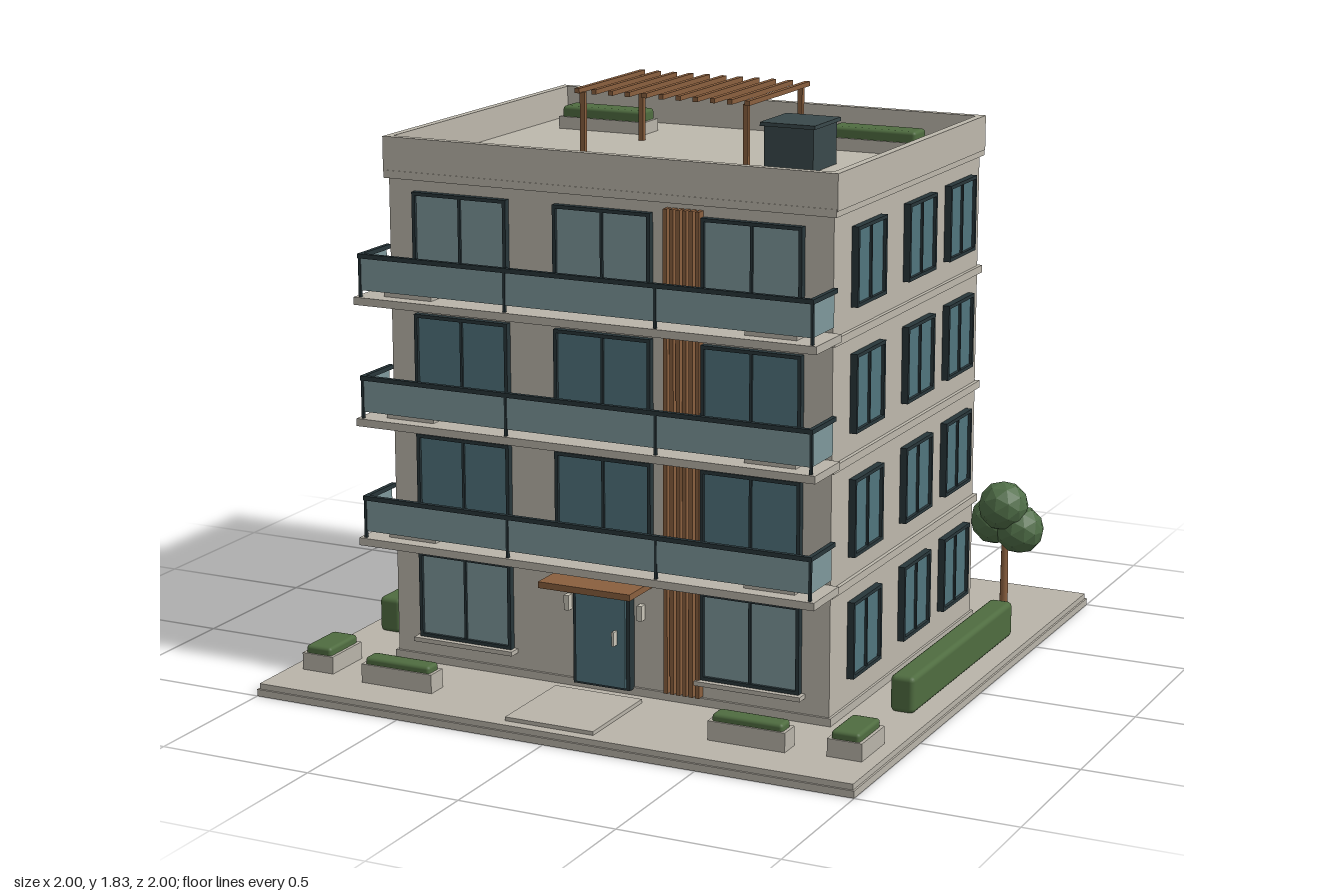
import * as THREE from 'three';
import { RoundedBoxGeometry } from 'three/addons/geometries/RoundedBoxGeometry.js';

const material = (name, color, extra = {}) => {
  const m = new THREE.MeshStandardMaterial({ color, ...extra });
  m.name = name;
  return m;
};

export function createModel() {
  const wall = material('wall plaster', 0xbdb8ac);
  const concrete = material('concrete', 0xb9b4a9);
  const frame = material('dark frame', 0x28363a);
  const roofMetal = material('roof metal', 0x3a494b);
  const glass = material('window glass', 0x50747d);
  const paleGlass = material('pale glass', 0x7e989b);
  const wood = material('wood', 0x8a5f3e);
  const hedgeGreen = material('hedge green', 0x4f6c40);
  const leafGreen = material('leaf green', 0x4f6d47, { flatShading: true });
  const metal = material('light metal', 0xc9c5b8);

  const model = new THREE.Group();
  model.name = 'apartmentBuilding';
  const group = (name, parent = model) => {
    const g = new THREE.Group();
    g.name = name;
    parent.add(g);
    return g;
  };

  // Box given by its limits on each axis
  const box = (parent, name, mat, [x0, x1], [y0, y1], [z0, z1], round = 0) => {
    const size = [x1 - x0, y1 - y0, z1 - z0];
    const geo = round ? new RoundedBoxGeometry(...size, 2, round) : new THREE.BoxGeometry(...size);
    const mesh = new THREE.Mesh(geo, mat);
    mesh.name = name;
    mesh.position.set((x0 + x1) / 2, (y0 + y1) / 2, (z0 + z1) / 2);
    parent.add(mesh);
    return mesh;
  };

  // Site slab and entrance path
  box(model, 'groundSlabLower', concrete, [-1, 1], [0, 0.022], [-1, 1]);
  box(model, 'groundSlabUpper', concrete, [-0.994, 0.994], [0.022, 0.04], [-0.994, 0.994]);
  box(model, 'entrancePath', concrete, [-0.148, 0.148], [0.04, 0.052], [0.64, 0.96]);

  // Main block with plinth, floor bands and roof parapet
  const W = 0.74, D = 0.58, STOREY = 0.38;
  box(model, 'plinth', concrete, [-0.748, 0.748], [0.04, 0.065], [-0.588, 0.588]);
  box(model, 'mainBlock', wall, [-W, W], [0.06, 1.605], [-D, D]);
  for (let i = 0; i < 4; i++) {
    const y = 0.437 + i * STOREY;
    box(model, 'floorBand', wall, [-0.752, 0.752], [y, y + 0.024], [-0.592, 0.592]);
  }
  const parapet = group('parapet');
  for (const s of [-1, 1]) {
    const span = (a, b) => (s > 0 ? [a, b] : [-b, -a]);
    box(parapet, 'parapetLong', wall, [-0.755, 0.755], [1.595, 1.705], span(0.565, 0.59));
    box(parapet, 'parapetShort', wall, span(0.73, 0.755), [1.595, 1.705], [-0.565, 0.565]);
  }

  // Framed two-pane window, facing its own +z
  function addWindow(w, h, pane, x, y, z, turn, sill) {
    const g = group('window');
    g.position.set(x, y, z);
    g.rotation.y = turn;
    const b = 0.011, d = 0.022;
    box(g, 'pane', pane, [-w / 2 + b, w / 2 - b], [b, h - b], [0, 0.012]);
    for (const s of [-1, 1]) {
      const c = s * (w / 2 - b / 2);
      box(g, 'frameSide', frame, [c - b / 2, c + b / 2], [0, h], [0, d]);
    }
    for (const c of [0, h - b])
      box(g, 'frameRail', frame, [-w / 2 + b, w / 2 - b], [c, c + b], [0, d]);
    box(g, 'mullion', frame, [-0.004, 0.004], [b, h - b], [0, 0.019]);
    if (sill) box(g, 'sill', concrete, [-w / 2 - 0.012, w / 2 + 0.012], [-0.014, 0], [0, 0.04]);
  }

  for (let i = 0; i < 4; i++) {
    const y = i * STOREY;
    // Side and back windows
    for (const z of [0.34, -0.06, -0.395])
      for (const s of [-1, 1]) addWindow(0.22, 0.24, glass, s * W, 0.147 + y, z, s * Math.PI / 2);
    for (const x of [-0.515, 0, 0.515]) addWindow(0.22, 0.24, glass, x, 0.147 + y, -D, Math.PI);
    // Front windows, with the door in the middle of the ground floor
    const pane = i === 0 || i === 3 ? paleGlass : glass;
    for (const x of i ? [-0.487, -0.003, 0.487] : [-0.487, 0.487])
      addWindow(0.325, 0.275, pane, x, 0.128 + y, D, 0, true);
    // Timber screen
    for (let k = 0; k < 6; k++) {
      const x = 0.213 + k * 0.0212;
      box(model, 'screenSlat', wood, [x - 0.0065, x + 0.0065], [0.07 + y, 0.422 + y], [D, 0.61]);
    }
  }

  // Planter box with a clipped shrub on top
  function addPlanter(x, y, z, w, d, h, leaf) {
    const g = group('planter');
    g.position.set(x, y, z);
    const i = 0.01;
    box(g, 'planterBox', concrete, [-w / 2, w / 2], [0, h], [-d / 2, d / 2]);
    box(g, 'planterShrub', hedgeGreen, [-w / 2 + i, w / 2 - i], [h - 0.012, h + leaf], [-d / 2 + i / 2, d / 2 - i / 2], 0.011);
  }

  // Balconies with glass railings
  for (let i = 1; i < 4; i++) {
    const y = 0.452 + (i - 1) * STOREY;
    const g = group('balcony');
    box(g, 'balconySlab', concrete, [-0.766, 0.766], [y, y + 0.024], [D, 0.76]);
    box(g, 'frontGlass', paleGlass, [-0.745, 0.745], [y + 0.045, y + 0.146], [0.743, 0.749]);
    box(g, 'frontHandrail', frame, [-0.754, 0.754], [y + 0.144, y + 0.158], [0.739, 0.754]);
    for (const x of [-0.748, -0.25, 0.25, 0.748])
      box(g, 'railingPost', frame, [x - 0.004, x + 0.004], [y + 0.024, y + 0.15], [0.742, 0.752]);
    for (const s of [-1, 1]) {
      const x = s * 0.747;
      box(g, 'sideGlass', paleGlass, [x - 0.003, x + 0.003], [y + 0.045, y + 0.146], [0.597, 0.743]);
      box(g, 'sideHandrail', frame, [x - 0.007, x + 0.007], [y + 0.144, y + 0.158], [D, 0.74]);
      addPlanter(s * 0.603, y + 0.024, 0.687, 0.164, 0.055, 0.045, 0.035);
    }
  }

  // Entrance door, canopy and wall lamps
  const entrance = group('entrance');
  box(entrance, 'doorFrame', frame, [-0.1, 0.093], [0.06, 0.392], [D, 0.612]);
  box(entrance, 'doorLeaf', glass, [-0.088, 0.081], [0.068, 0.382], [0.612, 0.62]);
  box(entrance, 'doorHandle', metal, [0.046, 0.054], [0.205, 0.25], [0.62, 0.642]);
  box(entrance, 'canopy', wood, [-0.157, 0.153], [0.388, 0.408], [D, 0.73]);
  for (const x of [-0.128, 0.122])
    box(entrance, 'wallLamp', metal, [x - 0.008, x + 0.008], [0.285, 0.333], [D, 0.605]);

  // Ground planters, hedges and trees on both sides
  for (const s of [-1, 1]) {
    addPlanter(s * 0.592, 0.04, 0.812, 0.248, 0.07, 0.06, 0.022);
    addPlanter(s * 0.892, 0.04, 0.735, 0.11, 0.17, 0.055, 0.025);
    box(model, 'hedge', hedgeGreen, [s * 0.892 - 0.039, s * 0.892 + 0.039], [0.04, 0.156], [-0.465, 0.385], 0.016);
    const tree = group('tree');
    tree.position.set(s * 0.845, 0.04, -0.612);
    const trunk = new THREE.Mesh(new THREE.CylinderGeometry(0.011, 0.015, 0.32, 8), wood);
    trunk.name = 'trunk';
    trunk.position.y = 0.16;
    tree.add(trunk);
    for (const [x, y, z, r] of [[0, 0.392, 0.022, 0.082], [0.047, 0.312, -0.005, 0.08], [-0.043, 0.33, -0.022, 0.082]]) {
      const crown = new THREE.Mesh(new THREE.IcosahedronGeometry(r, 1), leafGreen);
      crown.name = 'foliage';
      crown.position.set(s * x, y, z);
      tree.add(crown);
    }
    // Roof planters
    addPlanter(s * 0.476, 1.605, -0.37, 0.312, 0.1, 0.04, 0.035);
  }

  // Roof pergola
  const pergola = group('pergola');
  for (let k = 0; k < 11; k++) {
    const x = -0.29 + k * 0.0577;
    box(pergola, 'pergolaSlat', wood, [x - 0.008, x + 0.008], [1.814, 1.829], [-0.25, 0.2]);
  }
  for (const x of [-0.28, 0.276])
    for (const z of [-0.225, 0.178])
      box(pergola, 'pergolaPost', wood, [x - 0.008, x + 0.008], [1.605, 1.816], [z - 0.008, z + 0.008]);

  // Roof service unit
  box(model, 'serviceUnit', roofMetal, [0.293, 0.457], [1.605, 1.738], [-0.09, 0.088]);
  box(model, 'serviceUnitLid', roofMetal, [0.283, 0.466], [1.738, 1.75], [-0.1, 0.098]);

  return model;
}
